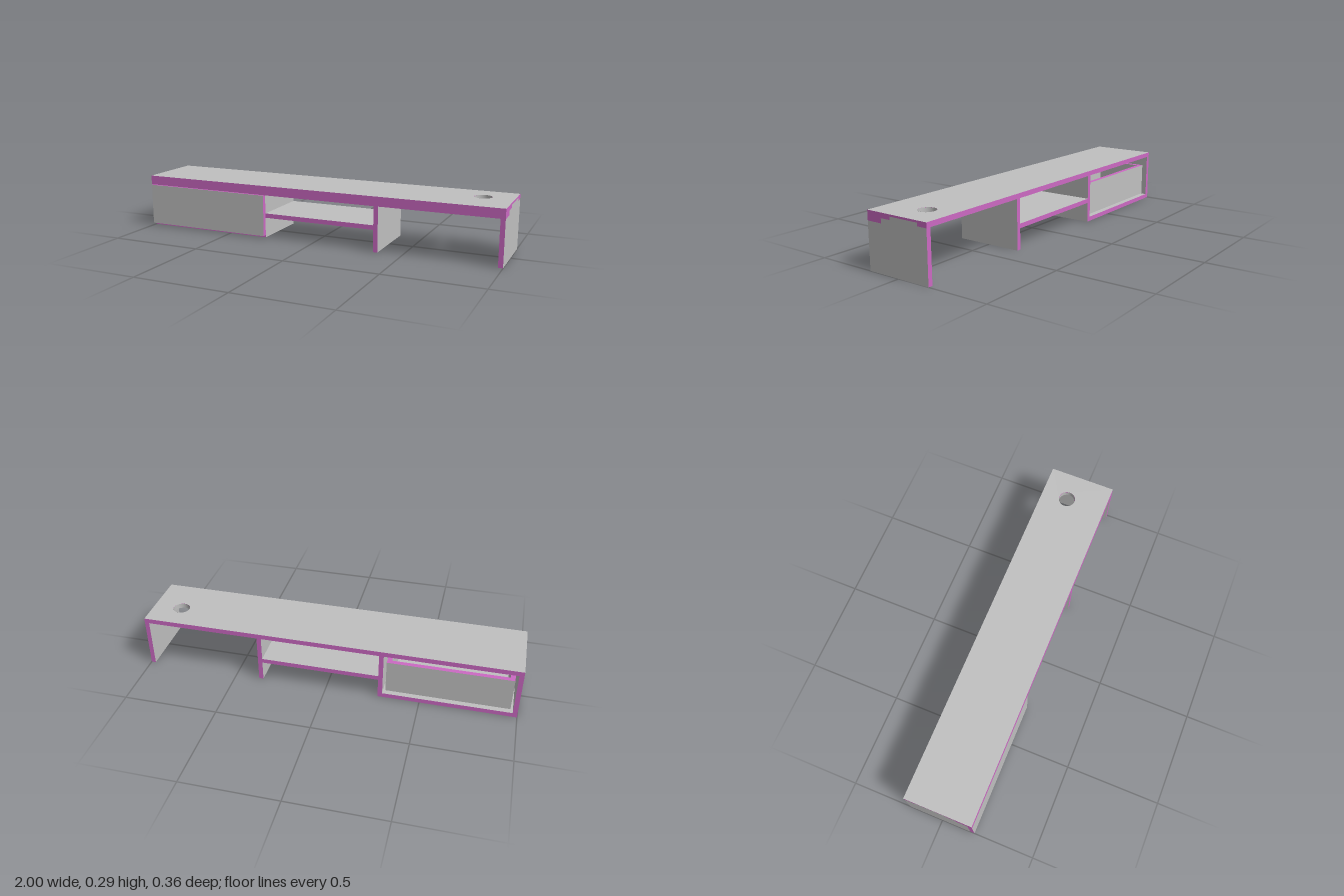
import * as THREE from 'three';

const T = 0.024;                       // board thickness
const X = 1, Z = 0.18, H = 0.288;      // half width, half depth, height
const UNDER = H - 0.026;               // underside of the top board
const LIP_Y = 0.238, LIP_Z = 0.095;    // front lip: bottom and rear
const POCKET = [-0.125, 0.04], POCKET_TOP = 0.278;
const FRONT = Z - T;                   // plane behind the drawer front

export function createModel() {
  const face = new THREE.MeshStandardMaterial({ color: 0xc0c0c0, side: THREE.DoubleSide });
  face.name = 'grey board';
  const edge = new THREE.MeshStandardMaterial({ color: 0xcc69c3 });
  edge.name = 'pink edging';

  const group = new THREE.Group();
  group.name = 'deskShelf';

  const add = (name, geometry, material, parent = group) => {
    const mesh = new THREE.Mesh(geometry, material);
    mesh.name = name;
    parent.add(mesh);
    return mesh;
  };

  // Rectangular board: grey on the two faces across its thin axis, pink on the edges
  const board = (name, x, y, z, parent) => {
    const size = [x, y, z].map(([a, b]) => b - a);
    const thin = size.indexOf(Math.min(...size));
    const mats = [0, 0, 1, 1, 2, 2].map(axis => (axis === thin ? face : edge));
    const mesh = add(name, new THREE.BoxGeometry(...size), mats, parent);
    mesh.position.set(...[x, y, z].map(([a, b]) => (a + b) / 2));
    return mesh;
  };

  const polygon = points => new THREE.Shape(points.map(([a, b]) => new THREE.Vector2(a, b)));

  // Top board: a full upper layer and a lower layer with end pockets for the tenons
  const hole = { x: 0.845, z: -0.037, r: 0.045 };
  const layer = (name, points, y0, y1) => {
    const shape = polygon(points.map(([x, z]) => [x, -z]));
    shape.holes.push(new THREE.Path().absarc(hole.x, -hole.z, hole.r, 0, Math.PI * 2, true));
    const geometry = new THREE.ExtrudeGeometry(shape, { depth: y1 - y0, bevelEnabled: false, curveSegments: 32 });
    geometry.rotateX(-Math.PI / 2).translate(0, y0, 0);
    add(name, geometry, [face, edge]);
  };
  layer('topBoardUpper', [[-X, Z], [X, Z], [X, -Z], [-X, -Z]], POCKET_TOP, H);
  const [p0, p1] = POCKET, xi = X - T;
  layer('topBoardLower', [
    [-X, Z], [X, Z], [X, p1], [xi, p1], [xi, p0], [X, p0],
    [X, -Z], [-X, -Z], [-X, p0], [-xi, p0], [-xi, p1], [-X, p1],
  ], UNDER, POCKET_TOP);

  // Grey lining of the cable hole
  const lining = add('cableHoleLining',
    new THREE.CylinderGeometry(hole.r - 0.001, hole.r - 0.001, H - UNDER, 40, 1, true), face);
  lining.position.set(hole.x, (H + UNDER) / 2, hole.z);

  // Doubled front lip under the top
  board('frontLip', [-X, X], [LIP_Y, UNDER], [LIP_Z, Z]);

  // Upright, notched for the lip; end panels also carry a tenon
  const upright = (name, x0, front, tenon) => {
    const points = [[-Z, 0], [front, 0], [front, LIP_Y], [LIP_Z, LIP_Y], [LIP_Z, UNDER]];
    if (tenon) points.push([p1, UNDER], [p1, POCKET_TOP], [p0, POCKET_TOP], [p0, UNDER]);
    points.push([-Z, UNDER]);
    const geometry = new THREE.ExtrudeGeometry(polygon(points), { depth: T, bevelEnabled: false });
    geometry.rotateY(-Math.PI / 2).translate(x0 + T, 0, 0);
    add(name, geometry, [face, edge]);
  };
  upright('leftEndPanel', X - T, Z, true);
  upright('middleDivider', 0.347, Z, false);
  upright('drawerDivider', -0.28 - T, FRONT, false);
  upright('rightEndPanel', -X, FRONT, true);

  // Fixed boards
  board('shelf', [-0.28, 0.347], [0.109, 0.109 + T], [-Z, FRONT]);
  board('drawerBayFloor', [-X + T, -0.28 - T], [0, T], [-Z, FRONT]);

  // Drawer: open box with an overlapping front
  const drawer = new THREE.Group();
  drawer.name = 'drawer';
  group.add(drawer);
  const dx0 = -0.963, dx1 = -0.317, dz = -0.157, dy = [0.029, 0.21];
  board('drawerFront', [-X, -0.28], [0.012, 0.235], [FRONT, Z], drawer);
  board('drawerBack', [dx0, dx1], dy, [dz, dz + T], drawer);
  board('drawerInnerFront', [dx0, dx1], dy, [FRONT - T, FRONT], drawer);
  for (const [name, x] of [['drawerRightWall', dx0], ['drawerLeftWall', dx1 - T]]) {
    board(name, [x, x + T], dy, [dz + T, FRONT - T], drawer);
  }
  board('drawerFloor', [dx0 + T, dx1 - T], [0.032, 0.046], [dz + T, FRONT - T], drawer);

  return group;
}
